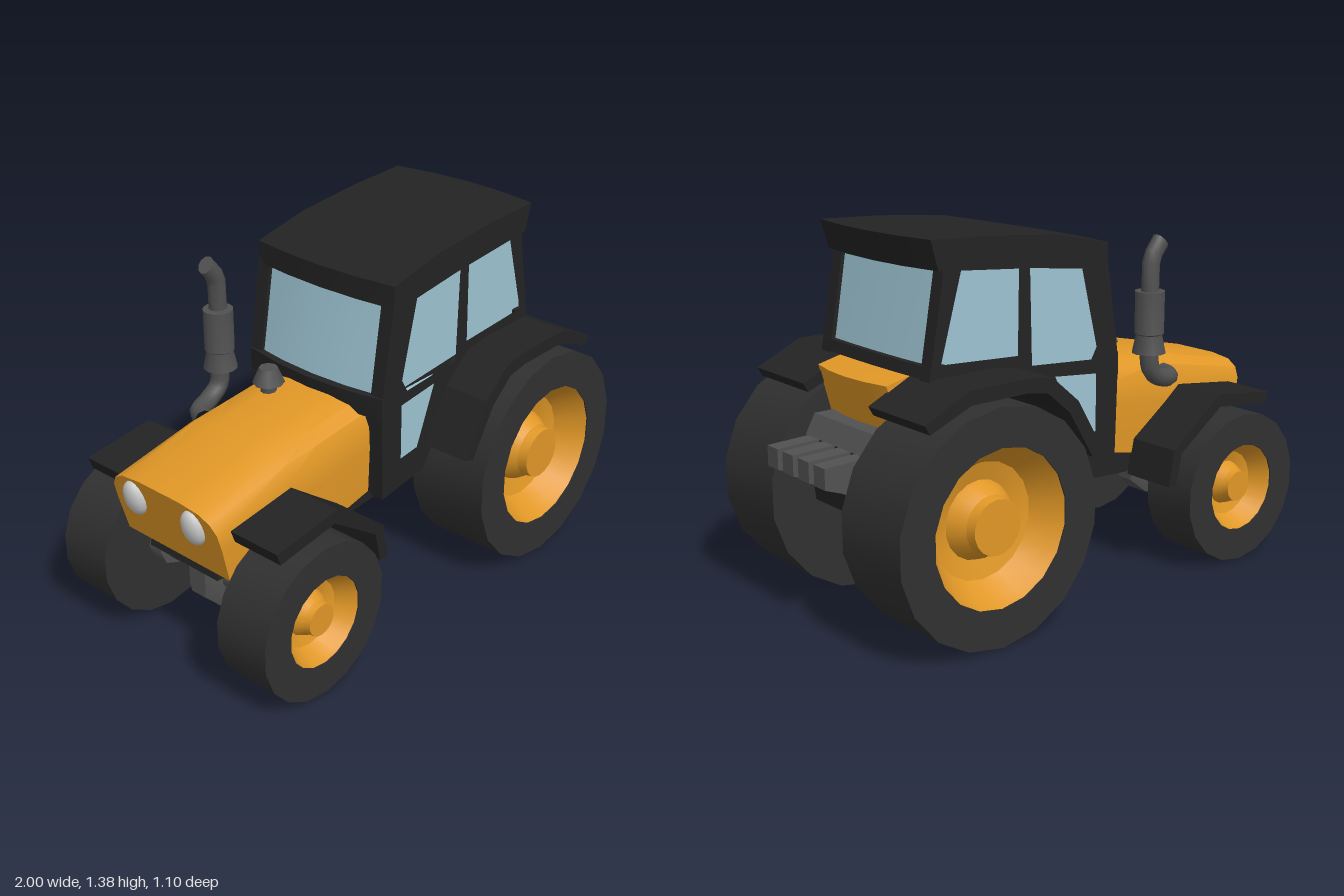
import * as THREE from 'three';
import { toCreasedNormals } from 'three/addons/utils/BufferGeometryUtils.js';

const paint = (color) => new THREE.MeshStandardMaterial({ color });
const ORANGE = paint(0xe09726), BLACK = paint(0x232323), TYRE = paint(0x303030);
const GREY = paint(0x515151), GLASS = paint(0x9cc3d1), LAMP = paint(0xcccccc);

export function createModel() {
  const model = new THREE.Group();

  const add = (name, geometry, material, x = 0, y = 0, z = 0) => {
    const mesh = new THREE.Mesh(geometry, material);
    mesh.name = name;
    mesh.position.set(x, y, z);
    model.add(mesh);
    return mesh;
  };

  // Side outline in x/y, extruded between two z values
  const prism = (pts, z0, z1, holes = []) => {
    const shape = new THREE.Shape(pts.map((p) => new THREE.Vector2(...p)));
    for (const h of holes) shape.holes.push(new THREE.Path(h.map((p) => new THREE.Vector2(...p))));
    const g = new THREE.ExtrudeGeometry(shape, { depth: z1 - z0, bevelEnabled: false });
    return g.translate(0, 0, z0);
  };

  // Skin over a row of closed cross-sections, with end caps
  const loft = (rings, crease = 0.4) => {
    const n = rings[0].length, tris = [];
    for (let r = 0; r < rings.length - 1; r++) {
      for (let i = 0; i < n; i++) {
        const j = (i + 1) % n, A = rings[r], B = rings[r + 1];
        tris.push(A[i], A[j], B[j], A[i], B[j], B[i]);
      }
    }
    const first = rings[0], last = rings[rings.length - 1];
    for (let i = 1; i < n - 1; i++) {
      tris.push(first[0], first[i + 1], first[i], last[0], last[i], last[i + 1]);
    }
    // Turn the faces outward when the enclosed volume is negative
    let volume = 0;
    const v = tris.map((p) => new THREE.Vector3(...p));
    for (let i = 0; i < v.length; i += 3) volume += v[i].dot(v[i + 1].clone().cross(v[i + 2]));
    if (volume < 0) for (let i = 0; i < v.length; i += 3) [v[i], v[i + 1]] = [v[i + 1], v[i]];
    return toCreasedNormals(new THREE.BufferGeometry().setFromPoints(v), crease);
  };

  // Prism across z whose middle bulges: each point is [x, y, bulge]
  const bowed = (pts, half) =>
    loft([-1, -0.5, 0, 0.5, 1].map((t) =>
      pts.map(([x, y, b = 0]) => [x + b * (1 - t * t), y, t * half])));

  // Bonnet
  const section = [[0.255, 0], [0.262, 0.5], [0.258, 0.72], [0.235, 0.86], [0.19, 0.95], [0.1, 0.99]];
  const outline = [...section, ...section.map(([z, t]) => [-z, t]).reverse()];
  const bonnet = [[-0.97, -0.9, 0.73, 0.45], [-0.6, -0.6, 0.812, 0.43], [-0.45, -0.45, 0.827, 0.43], [-0.19, -0.19, 0.848, 0.48]];
  add('bonnet', loft(bonnet.map(([xTop, xLow, top, low]) =>
    outline.map(([z, t]) => [xLow + (xTop - xLow) * t, low + (top - low) * t, z])), 0.5), ORANGE);
  for (const s of [1, -1]) {
    const lamp = add('headlight', new THREE.SphereGeometry(1, 12, 8), LAMP, -0.952, 0.64, s * 0.145);
    lamp.scale.set(0.033, 0.072, 0.05);
    lamp.rotation.z = 0.22;
  }

  // Chassis and rear housing
  add('chassis', prism([[-0.88, 0.4], [-0.4, 0.34], [0.11, 0.37], [0.5, 0.4], [0.5, 0.6], [-0.86, 0.5]], -0.17, 0.17), BLACK);
  const shaft = add('driveShaft', new THREE.CylinderGeometry(0.035, 0.035, 1.2, 10), GREY, -0.1, 0.335, 0);
  shaft.rotation.z = -Math.PI / 2 + 0.06;
  add('rearHousing', prism([[0.3, 0.4], [0.8, 0.4], [0.83, 0.64], [0.79, 0.72], [0.3, 0.72]], -0.19, 0.19), BLACK);
  add('housingLid', prism([[0.7, 0.65], [0.835, 0.65], [0.795, 0.722], [0.7, 0.722]], -0.188, 0.188), GREY);
  add('rearPanel', bowed([[0.3, 0.6], [0.68, 0.6, 0.02], [0.76, 0.89, 0.03], [0.65, 0.915], [0.3, 0.91]], 0.208), ORANGE);
  for (let i = 0; i < 4; i++) {
    const z = -0.15 + i * 0.098;
    add('hydraulicCoupling', prism([[0.8, 0.5], [0.87, 0.51], [0.93, 0.545], [0.998, 0.57], [0.998, 0.645], [0.8, 0.65]],
      z - 0.033, z + 0.033), GREY);
  }

  // Axles
  const axle = (name, x, y, r, half) => {
    add(name, new THREE.CylinderGeometry(r, r, half * 2, 10), GREY, x, y).rotation.x = Math.PI / 2;
    for (const s of [1, -1]) {
      add(name + 'Flange', new THREE.CylinderGeometry(r * 1.45, r * 1.45, 0.07, 8), GREY, x, y, s * (half - 0.04)).rotation.x = Math.PI / 2;
    }
  };
  axle('frontAxle', -0.705, 0.3, 0.06, 0.3);
  axle('rearAxle', 0.54, 0.43, 0.08, 0.24);
  add('frontDifferential', loft([[-0.82, 0.04, 0.06], [-0.76, 0.07, 0.12], [-0.64, 0.07, 0.12], [-0.57, 0.04, 0.06]].map(([x, w, h]) =>
    [[w, h], [w, -h * 0.5], [w * 0.8, -h], [-w * 0.8, -h], [-w, -h * 0.5], [-w, h]].map(([z, y]) => [x, 0.295 + y, z]))), GREY);

  // Wheels: closed tyre, dished rim with a raised hub
  const wheel = (name, x, R, z0, z1, rim, depth) => {
    const h = (z1 - z0) / 2;
    const lathe = (pts) => toCreasedNormals(
      new THREE.LatheGeometry(pts.map((p) => new THREE.Vector2(...p)), 18), 0.45);
    const tyre = lathe([[0, -h], [R, -h], [R, h], [rim, h], [rim, h - depth * 0.3]]);
    const disc = lathe([[rim, h - 0.005], [rim * 0.93, h - depth * 0.3], [rim * 0.74, h - depth * 0.85],
      [rim * 0.5, h - depth], [rim * 0.45, h - depth * 0.75], [rim * 0.37, h - depth * 0.5],
      [rim * 0.35, h - depth * 0.2], [0, h - depth * 0.2]]);
    for (const s of [1, -1]) {
      add(name + 'Tyre', tyre, TYRE, x, R, s * (z0 + h)).rotation.x = s * Math.PI / 2;
      add(name + 'Rim', disc, ORANGE, x, R, s * (z0 + h)).rotation.x = s * Math.PI / 2;
    }
  };
  wheel('rear', 0.54, 0.427, 0.22, 0.548, 0.285, 0.13);
  wheel('front', -0.705, 0.297, 0.288, 0.512, 0.172, 0.09);

  // Mudguards
  const frontGuard = [[-0.89, 0.645], [-0.6, 0.682], [-0.36, 0.505], [-0.335, 0.365], [-0.375, 0.365],
    [-0.4, 0.485], [-0.61, 0.632], [-0.875, 0.598]];
  const rearGuard = [[0.05, 0.6], [0.17, 0.8], [0.29, 0.902], [0.4, 0.917], [0.65, 0.917], [0.83, 0.832],
    [0.81, 0.798], [0.64, 0.866], [0.4, 0.866], [0.31, 0.85], [0.21, 0.765], [0.1, 0.585]];
  for (const s of [1, -1]) {
    const span = (a, b) => (s > 0 ? [a, b] : [-b, -a]);
    add('frontMudguard', prism(frontGuard, ...span(0.25, 0.472)), BLACK);
    add('rearMudguard', prism(rearGuard, ...span(0.2, 0.513)), BLACK);
  }

  // Cab sides with window openings
  const side = [[-0.14, 1.24], [0.6, 1.3], [0.67, 0.9], [0.3, 0.88], [0.17, 0.79], [0.11, 0.6], [0.04, 0.5], [-0.19, 0.47], [-0.2, 0.86]];
  const doorWindow = [[-0.015, 1.215], [0.23, 1.245], [0.22, 0.885], [-0.06, 0.868], [-0.09, 0.92]];
  const lowWindow = [[-0.09, 0.82], [0.11, 0.84], [0.05, 0.7], [0.005, 0.61], [-0.09, 0.6]];
  const rearWindow = [[0.28, 1.25], [0.53, 1.275], [0.62, 0.962], [0.285, 0.943]];
  for (const s of [1, -1]) {
    const z = s > 0 ? [0.27, 0.325] : [-0.325, -0.27];
    add('cabSideFrame', prism(side, ...z, [doorWindow, lowWindow, rearWindow]), BLACK);
    add('lowerDoorGlass', prism([[-0.12, 0.85], [0.13, 0.85], [0.02, 0.58], [-0.12, 0.58]],
      s * 0.297 - 0.01, s * 0.297 + 0.01), GLASS);
  }
  add('cabLowerBody', prism([[-0.19, 0.48], [0.04, 0.5], [0.17, 0.79], [0.3, 0.88], [0.655, 0.9], [0.65, 0.93], [0.3, 0.9], [-0.18, 0.865]],
    -0.285, 0.285), BLACK);
  add('cabGlass', bowed([[-0.118, 1.24, -0.025], [0.585, 1.29, 0.01], [0.648, 0.925, 0.01], [-0.182, 0.862, -0.03]], 0.305), GLASS);
  add('windscreenSill', bowed([[-0.2, 0.885, -0.04], [-0.2, 0.8, -0.03], [-0.14, 0.8], [-0.14, 0.885]], 0.325), BLACK);
  add('rearSill', bowed([[0.6, 0.96], [0.66, 0.958, 0.012], [0.668, 0.915, 0.012], [0.6, 0.9]], 0.325), BLACK);

  // Roof
  add('roof', bowed([[-0.14, 1.213, -0.025], [-0.14, 1.298, -0.027], [0.1, 1.348], [0.4, 1.374], [0.655, 1.384, 0.035],
    [0.625, 1.278, 0.035], [0.3, 1.262]], 0.325), BLACK);

  // Exhaust
  const bend = new THREE.CatmullRomCurve3([[-0.53, 0.74, -0.24], [-0.5, 0.74, -0.3], [-0.43, 0.75, -0.325], [-0.37, 0.79, -0.33], [-0.355, 0.88, -0.33]]
    .map((p) => new THREE.Vector3(...p)));
  add('exhaustBend', new THREE.TubeGeometry(bend, 14, 0.036, 9), GREY);
  add('silencer', new THREE.LatheGeometry([[0, 0.86], [0.065, 0.86], [0.05, 0.93], [0.057, 0.935], [0.057, 1.095], [0, 1.095]]
    .map((p) => new THREE.Vector2(...p)), 12), GREY, -0.355, 0, -0.33).geometry = toCreasedNormals(model.children.at(-1).geometry, 0.6);
  const ring = (x, y, tilt) => Array.from({ length: 10 }, (_, i) => {
    const a = i * Math.PI / 5, c = 0.035 * Math.cos(a);
    return [x + c * Math.cos(tilt), y + c * Math.sin(tilt), -0.335 + 0.032 * Math.sin(a)];
  });
  add('exhaustPipe', loft([ring(-0.35, 1.08, 0), ring(-0.352, 1.2, 0.2), ring(-0.365, 1.235, 0.5), ring(-0.4, 1.278, 0.85)], 0.7), GREY);

  // Air intake
  add('airIntakeStem', new THREE.CylinderGeometry(0.03, 0.03, 0.08, 8), GREY, -0.335, 0.845, -0.1);
  add('airIntakeCap', new THREE.CylinderGeometry(0.035, 0.06, 0.06, 8), GREY, -0.335, 0.895, -0.1);

  return model;
}
